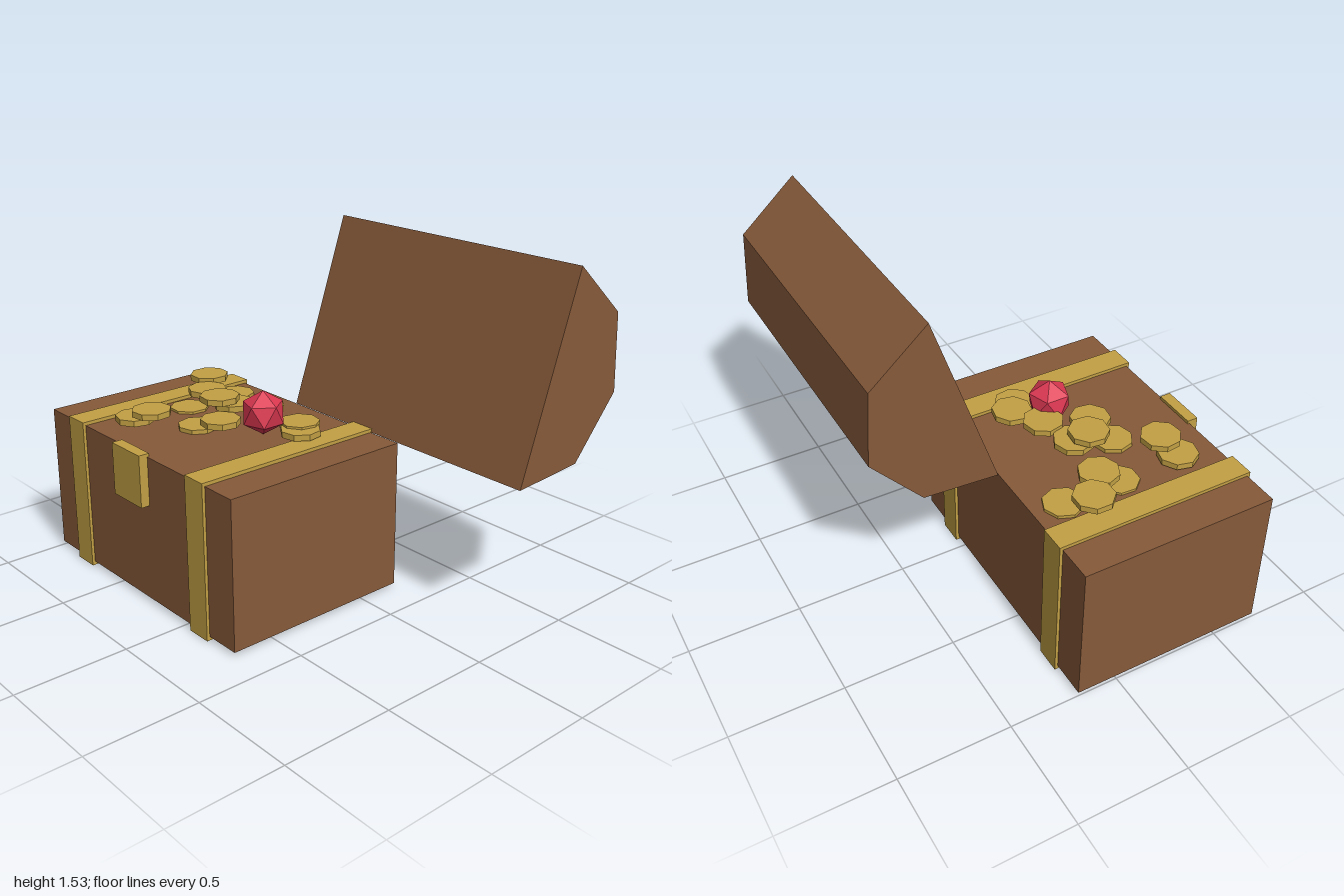
import * as THREE from 'three';

const flat = (name, color) => {
  const m = new THREE.MeshStandardMaterial({ color });
  m.name = name;
  m.flatShading = true;
  return m;
};

export function createModel() {
  const wood = flat('brown wood', 0x875a3a);
  const gold = flat('gold', 0xc2a044);
  const ruby = flat('ruby red', 0xdc3851);
  const chest = new THREE.Group();
  chest.name = 'treasureChest';

  const add = (name, geometry, material, x, y, z, parent = chest) => {
    const mesh = new THREE.Mesh(geometry, material);
    mesh.name = name;
    mesh.position.set(x, y, z);
    parent.add(mesh);
    return mesh;
  };

  // Chest body
  add('body', new THREE.BoxGeometry(1.333, 0.667, 0.889), wood, -0.333, 0.351, 0.26);

  // Two straps wrapped all round the body
  for (const x of [-0.778, 0.108])
    add('strap', new THREE.BoxGeometry(0.118, 0.7, 0.916), gold, x, 0.35, 0.26);

  // Latch plate
  add('latch', new THREE.BoxGeometry(0.205, 0.235, 0.05), gold, -0.336, 0.582, 0.72);

  // Open lid: a half octagon prism tilted back about the rear edge
  const r = 0.444, tilt = Math.atan2(0.84, -0.286);
  const profile = new THREE.Shape();
  for (let i = 0; i <= 4; i++) {
    const a = tilt + i * Math.PI / 4;
    const z = -0.33 + r * Math.cos(a), y = 1.105 + r * Math.sin(a);
    // the profile is drawn in (-z, y) and turned to run along x
    if (i === 0) profile.moveTo(-z, y); else profile.lineTo(-z, y);
  }
  profile.closePath();
  const lidGeometry = new THREE.ExtrudeGeometry(profile, { depth: 1.333, bevelEnabled: false });
  lidGeometry.rotateY(Math.PI / 2);
  add('lid', lidGeometry, wood, -0.333, 0, 0);

  // Scattered coins: x, y, z
  const coins = new THREE.Group();
  coins.name = 'coins';
  chest.add(coins);
  const coinGeometry = new THREE.CylinderGeometry(0.089, 0.089, 0.027, 8);
  [
    [-0.615, 0.685, -0.047], [-0.715, 0.77, 0.03], [-0.588, 0.755, 0.135],
    [-0.605, 0.682, 0.225], [-0.365, 0.755, 0.155], [-0.385, 0.792, 0.215],
    [-0.375, 0.69, 0.345], [-0.26, 0.738, 0.305], [-0.21, 0.77, 0.10],
    [-0.035, 0.727, 0.047], [0.02, 0.717, 0.09], [-0.605, 0.71, 0.518],
    [-0.52, 0.754, 0.487],
  ].forEach(([x, y, z], i) => {
    add('coin', coinGeometry, gold, x, y, z, coins).rotation.y = i * 0.37;
  });

  // Gem standing on one point
  const gemGeometry = new THREE.IcosahedronGeometry(0.1, 0);
  gemGeometry.rotateZ(-Math.atan(2 / (1 + Math.sqrt(5))));
  add('gem', gemGeometry, ruby, -0.112, 0.79, 0.187);

  return chest;
}
